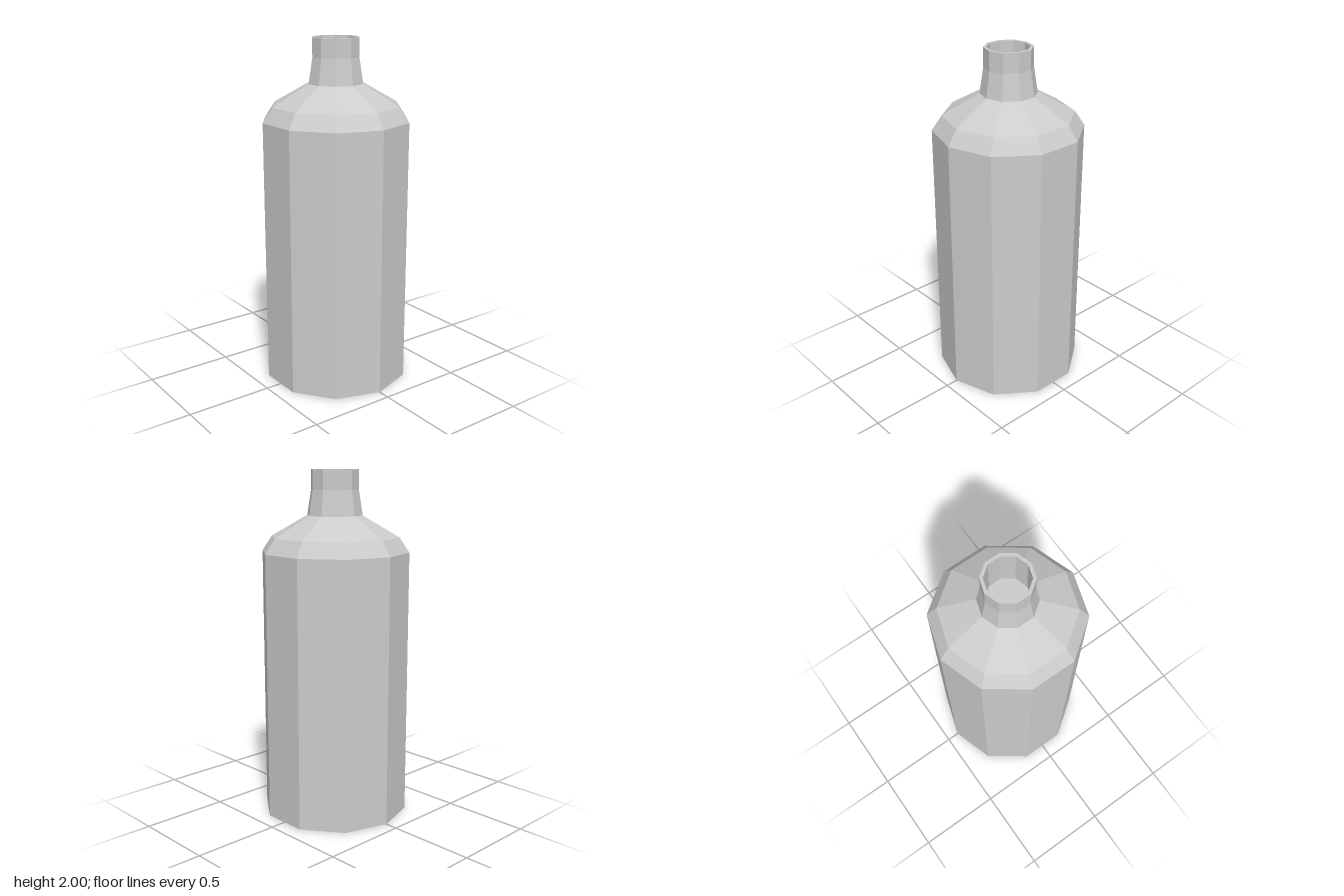
import * as THREE from 'three';

const SIDES = 10;

export function createModel() {
  const group = new THREE.Group();
  const material = new THREE.MeshStandardMaterial({ color: 0xcccccc, flatShading: true });

  // Spin a profile of [radius, height] pairs into a ten-sided part
  const addLathe = (name, profile) => {
    const points = profile.map(([r, y]) => new THREE.Vector2(r, y));
    const geometry = new THREE.LatheGeometry(points, SIDES).toNonIndexed();
    geometry.computeVertexNormals();
    const mesh = new THREE.Mesh(geometry, material);
    mesh.name = name;
    group.add(mesh);
  };

  // Closed base and straight wall
  addLathe('body', [[0, 0], [0.427, 0], [0.427, 1.54]]);
  // Two sloping bands up to the neck
  addLathe('shoulder', [[0.427, 1.54], [0.37, 1.625], [0.16, 1.745]]);
  // Tapered neck with a flat rim and a hollow mouth
  addLathe('neck', [[0.16, 1.745], [0.137, 1.89], [0.137, 2], [0.119, 2], [0.119, 1.75], [0, 1.75]]);

  return group;
}
